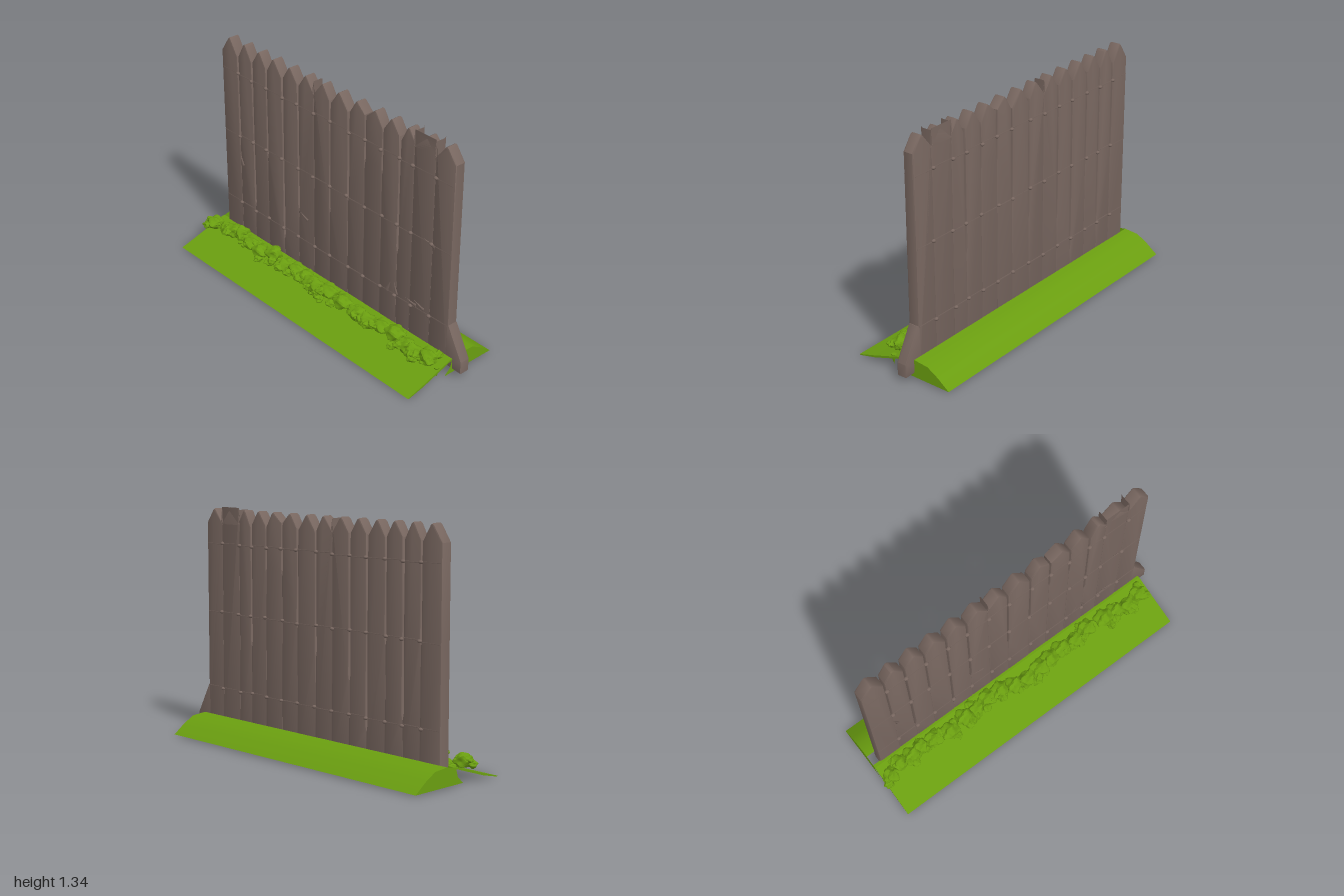
import * as THREE from 'three';
import { mergeVertices, toCreasedNormals } from 'three/addons/utils/BufferGeometryUtils.js';

export function createModel() {
  const model = new THREE.Group();
  model.name = 'palisadeFence';
  const wood = new THREE.MeshStandardMaterial({ color: 0x77665f });
  wood.name = 'weatheredWood';
  const grass = new THREE.MeshStandardMaterial({ color: 0x6a9e10, side: THREE.DoubleSide });
  grass.name = 'grassGreen';

  let seed = 7;
  const rand = () => (seed = (seed * 16807) % 2147483647) / 2147483647;
  const add = (name, geometry, material, parent = model) => {
    const mesh = new THREE.Mesh(geometry, material);
    mesh.name = name;
    parent.add(mesh);
    return mesh;
  };
  const group = (name) => {
    const g = new THREE.Group();
    g.name = name;
    model.add(g);
    return g;
  };
  const polygon = (pts) => new THREE.Shape(pts.map(([x, y]) => new THREE.Vector2(x, y)));

  const WALL_Z = -0.047, BEVEL = 0.008, BOTTOM = 0.035;
  const slab = (pts, depth) => {
    const g = new THREE.ExtrudeGeometry(polygon(pts), {
      depth: depth - 2 * BEVEL, bevelThickness: BEVEL, bevelSize: BEVEL,
      bevelOffset: -BEVEL, bevelSegments: 2,
    });
    g.translate(0, 0, WALL_Z - depth / 2 + BEVEL);
    return toCreasedNormals(g, 0.6);
  };

  // Pickets: seams between boards as [x, height where the gap opens, half gap]
  const seams = [
    [-0.95, 0, 0], [-0.81, 0.7, 0.005], [-0.685, 0.3, 0.006], [-0.56, 0.68, 0.005],
    [-0.423, 0.2, 0.006], [-0.292, 0.45, 0.006], [-0.16, 1.2, 0.002], [-0.03, 0.55, 0.005],
    [0.117, 0.7, 0.006], [0.245, 0.98, 0.005], [0.378, 0.98, 0.004], [0.505, 0.55, 0.006],
    [0.61, 1.22, 0.001], [0.76, 1.22, 0.001], [0.897, 0, 0],
  ];
  const peaks = [-0.88, -0.748, -0.62, -0.495, -0.358, -0.225, -0.09, 0.042, 0.18, 0.318, 0.442, 0.565, 0.695, 0.832];
  const pickets = group('pickets');
  peaks.forEach((peak, i) => {
    const [x0, open0, g0] = seams[i];
    const [x1, open1, g1] = seams[i + 1];
    const shoulder = 1.235 + rand() * 0.02;
    const leftTop = i === 9 ? 1.275 : shoulder;
    const rightTop = i === 8 ? 1.275 : i === 11 ? 1.27 : shoulder;
    const right = [[x1 + 0.002, BOTTOM], [x1 + 0.002, Math.max(open1, 0.1)],
      [x1 - g1, Math.max(open1, 0.1) + 0.04], [x1 - g1 * 0.6, 0.5 * (open1 + 1.24) + 0.1], [x1 - g1, rightTop]];
    const left = [[x0 + g0, leftTop], [x0 + g0 * 0.6, 0.5 * (open0 + 1.24) + 0.1],
      [x0 + g0, Math.max(open0, 0.1) + 0.04], [x0 - 0.002, Math.max(open0, 0.1)], [x0 - 0.002, BOTTOM]];
    const tip = [[peak + 0.012, 1.322], [peak, 1.33], [peak - 0.012, 1.322]];
    add('picket', slab([...right, ...tip, ...left], 0.064 + rand() * 0.004), wood, pickets);
  });

  // Cross rails: slim bands with a knot at each seam
  const rails = group('crossRails');
  for (const y of [0.28, 0.73, 1.13]) {
    for (let i = 0; i < peaks.length; i++) {
      const a = seams[i][0], b = seams[i + 1][0], w = b - a - 0.014;
      const band = add('railBand', new THREE.CylinderGeometry(0.012, 0.012, w, 8), wood, rails);
      band.rotation.z = Math.PI / 2;
      band.scale.z = 3.1;
      band.position.set((a + b) / 2, y + (rand() - 0.5) * 0.012, WALL_Z);
    }
    for (const [x] of seams.slice(1, -1)) {
      for (const side of [-1, 1]) {
        const knot = add('railKnot', new THREE.SphereGeometry(0.012, 8, 6), wood, rails);
        knot.position.set(x + (rand() - 0.5) * 0.02, y + (rand() - 0.5) * 0.01, WALL_Z + side * 0.036);
        knot.scale.set(1.2, 0.8, 1);
      }
    }
  }

  // Foot board and slanting end brace
  add('footBoard', new THREE.BoxGeometry(1.84, 0.06, 0.062).translate(-0.027, 0.06, WALL_Z), wood);
  add('endBrace', slab([[0.88, BOTTOM], [1, 0.03], [1, 0.105], [0.9, 0.29], [0.88, 0.29]], 0.066), wood);

  // Splinters standing off the boards
  const splinters = group('splinters');
  for (const [x, y, tilt] of [[-0.8, 0.58, 0.3], [-0.25, 0.44, 1.1], [0.45, 0.32, -0.4],
    [0.5, 0.33, 0.3], [0.62, 0.3, 1.4], [0.68, 0.31, 1.2], [0.74, 0.73, 1.3]]) {
    const s = add('splinter', new THREE.ConeGeometry(0.012, 0.08, 4), wood, splinters);
    s.position.set(x, y, -0.013);
    s.rotation.z = tilt;
    s.scale.z = 0.4;
  }

  // Rear bank: open shell swept along x, closed at the ends
  const X0 = -1, X1 = 0.94;
  const bank = [[-0.31, 0.008], [-0.24, 0.062], [-0.17, 0.103], [-0.08, 0.112]];
  const shell = new THREE.PlaneGeometry(1, 1, 1, bank.length - 1);
  bank.forEach(([z, y], r) => {
    shell.attributes.position.setXYZ(2 * r, X0, y, z);
    shell.attributes.position.setXYZ(2 * r + 1, X1, y, z);
  });
  add('rearBank', toCreasedNormals(shell, 0.5), grass);
  const endOutline = [...bank, [-0.015, 0.1], [0, 0.05], [0.04, 0.012]].map(([z, y]) => [-z, y]);
  for (const x of [X0, X1]) {
    const cap = add('bankEnd', new THREE.ShapeGeometry(polygon(endOutline)), grass);
    cap.rotation.y = Math.PI / 2;
    cap.position.x = x;
  }

  // Front slope: thin sheet running up to the wall
  const slope = [[0.31, 0.004], [0.2, 0.036], [0.1, 0.068], [0.0, 0.1], [-0.02, 0.1],
    [-0.02, 0.09], [0, 0.088], [0.1, 0.056], [0.2, 0.024], [0.305, 0]].map(([z, y]) => [-z, y]);
  const sheet = new THREE.ExtrudeGeometry(polygon(slope), { depth: X1 - X0, bevelEnabled: false });
  sheet.rotateY(Math.PI / 2).translate(X0, 0, 0);
  add('frontSlope', sheet, grass);

  // Shrubs: lumpy flattened blobs along the wall foot
  const lump = (phase) => {
    let g = new THREE.IcosahedronGeometry(1, 3);
    g.deleteAttribute('uv');
    g.deleteAttribute('normal');
    g = mergeVertices(g, 1e-3);
    const p = g.attributes.position, v = new THREE.Vector3();
    for (let i = 0; i < p.count; i++) {
      v.fromBufferAttribute(p, i);
      v.multiplyScalar(0.9 + 0.16 * Math.sin(4 * v.x + phase) * Math.cos(5 * v.y + phase * 2) + 0.1 * Math.sin(7 * v.z + 3 * v.x + phase));
      p.setXYZ(i, v.x, v.y, v.z);
    }
    return toCreasedNormals(g, 0.6);
  };
  const lumps = [0, 1.3, 2.6, 4.1].map(lump);
  const shrubs = group('shrubs');
  // x, top height, z centre, half width
  const bushes = [[-0.95, 0.155, 0.09, 0.045], [-0.87, 0.12, 0.05, 0.06], [-0.79, 0.165, 0.07, 0.06],
    [-0.72, 0.175, 0.06, 0.05], [-0.63, 0.145, 0.06, 0.07], [-0.53, 0.15, 0.08, 0.06],
    [-0.42, 0.19, 0.075, 0.06], [-0.33, 0.125, 0.06, 0.06], [-0.24, 0.145, 0.05, 0.06],
    [-0.15, 0.15, 0.06, 0.06], [-0.07, 0.165, 0.09, 0.06], [0.01, 0.18, 0.11, 0.06],
    [0.1, 0.195, 0.1, 0.07], [0.19, 0.165, 0.085, 0.06], [0.29, 0.135, 0.07, 0.07],
    [0.39, 0.14, 0.08, 0.06], [0.49, 0.145, 0.06, 0.06], [0.6, 0.175, 0.08, 0.06],
    [0.69, 0.14, 0.08, 0.06], [0.77, 0.15, 0.1, 0.06], [0.86, 0.165, 0.08, 0.06]];
  bushes.forEach(([x, top, z, w], i) => {
    const h = 0.042;
    const bush = add('shrub', lumps[i % 4], grass, shrubs);
    bush.position.set(x, top - h, z);
    bush.scale.set(w, h, 0.052);
    for (let k = 0; k < 3; k++) {
      const leaf = add('leafLump', lumps[(i + k + 1) % 4], grass, shrubs);
      leaf.position.set(x + (rand() - 0.5) * 0.09, 0.085 + rand() * (top - 0.115), z + (rand() - 0.45) * 0.09);
      leaf.rotation.y = rand() * 6;
      leaf.scale.set(0.032, 0.022, 0.028);
    }
  });

  // Leaf tips hanging through the slope
  const tips = group('leafTips');
  for (const x of [-0.72, -0.68, -0.42, -0.1, -0.06, 0.1, 0.14, 0.18, 0.4, 0.6, 0.7, 0.86, 0.92]) {
    const t = add('leafTip', new THREE.ConeGeometry(0.016, 0.06, 5), grass, tips);
    t.rotation.x = Math.PI;
    t.position.set(x, 0.05, 0.08 + (rand() - 0.5) * 0.03);
  }
  return model;
}
